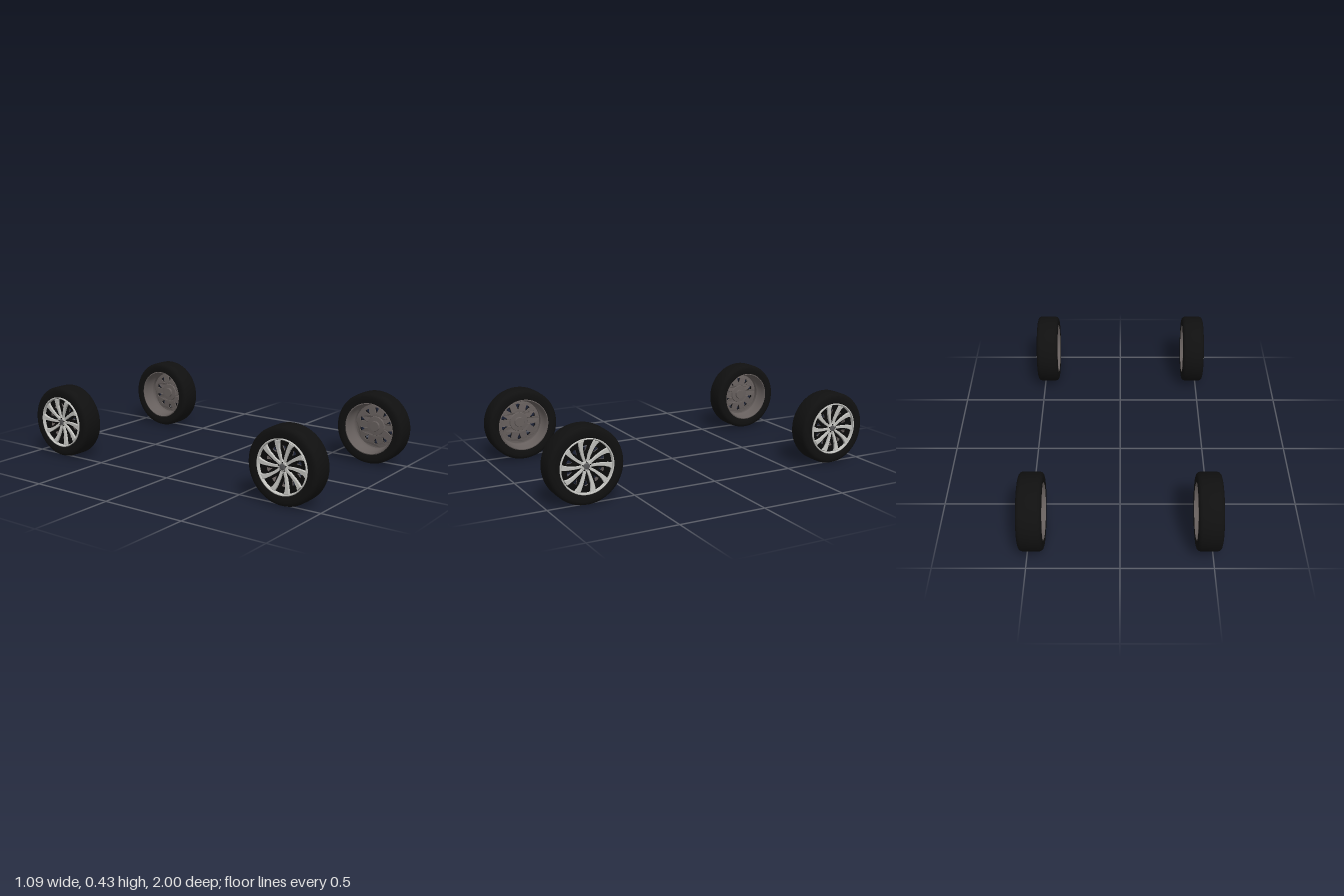
import * as THREE from 'three';
import { toCreasedNormals } from 'three/addons/utils/BufferGeometryUtils.js';

const paint = (name, color, side = THREE.FrontSide) => {
  const m = new THREE.MeshStandardMaterial({ color, side });
  m.name = name;
  return m;
};

const SPOKES = 10;
const polar = (r, a) => new THREE.Vector2(r * Math.cos(a), r * Math.sin(a));

// Revolves [radius, axial] points about the x axis, outboard side at +x
function turned(points, segments = 64) {
  const g = new THREE.LatheGeometry(points.map(([r, h]) => new THREE.Vector2(r, h)), segments);
  return toCreasedNormals(g.rotateZ(-Math.PI / 2), 0.6);
}

// Extrudes a wheel-face shape outboard from x, dished toward the hub
function pressed(shape, x, depth, bevel = 0) {
  const g = new THREE.ExtrudeGeometry(shape, {
    depth, curveSegments: 48, bevelEnabled: bevel > 0,
    bevelSize: bevel, bevelThickness: bevel, bevelSegments: 1,
  });
  const p = g.attributes.position;
  for (let i = 0; i < p.count; i++) {
    const r = Math.hypot(p.getX(i), p.getY(i));
    p.setZ(i, p.getZ(i) + x - 0.016 * Math.max(0, 1 - r / 0.145));
  }
  g.computeVertexNormals();
  return g.rotateY(Math.PI / 2);
}

// Disc pierced by a ring of tapered windows between the spokes
function piercedDisc() {
  const s = new THREE.Shape().absarc(0, 0, 0.142, 0, Math.PI * 2, false);
  for (let i = 0; i < SPOKES; i++) {
    const a = ((i + 0.5) / SPOKES) * Math.PI * 2;
    s.holes.push(new THREE.Path([
      polar(0.072, a), polar(0.108, a - 0.13), polar(0.112, a), polar(0.108, a + 0.13),
    ]));
  }
  return s;
}

// Swept spoke, narrow at the hub and wide at the rim
function spokeShape() {
  const rows = [[0.022, 0.006, 0], [0.06, 0.006, 0.02], [0.1, 0.008, -0.02], [0.125, 0.011, -0.06], [0.14, 0.014, -0.1]];
  const edge = (s) => rows.map(([r, w, a]) => polar(r, a + s * Math.atan(w / r)));
  return new THREE.Shape([...edge(-1), ...edge(1).reverse()]);
}

export function createModel() {
  const rubber = paint('tyre black', 0x101010);
  const silver = paint('machined silver', 0xc2c2be);
  const dark = paint('gloss black', 0x0a0a0a);
  const iron = paint('barrel grey', 0x665f5d, THREE.DoubleSide);
  const cap = paint('cap grey', 0x58585a);

  const tyre = turned([
    [0.148, -0.056], [0.156, -0.064], [0.172, -0.067], [0.19, -0.067], [0.2, -0.064],
    [0.208, -0.057], [0.212, -0.046], [0.213, 0], [0.212, 0.046], [0.208, 0.057],
    [0.2, 0.064], [0.19, 0.067], [0.172, 0.067], [0.156, 0.064], [0.148, 0.056], [0.148, -0.056],
  ], 80);
  const barrel = turned([
    [0.155, -0.064], [0.15, -0.066], [0.147, -0.055], [0.143, -0.045], [0.141, -0.005],
    [0.132, 0.008], [0.132, 0.03], [0.142, 0.045], [0.147, 0.06],
  ]);
  const lip = turned([[0.142, 0.05], [0.15, 0.058], [0.152, 0.068], [0.149, 0.071], [0.145, 0.07], [0.142, 0.05]]);
  const face = pressed(piercedDisc(), 0.042, 0.01);
  const back = pressed(piercedDisc(), 0.034, 0.008);
  const spoke = pressed(spokeShape(), 0.054, 0.012, 0.0015);
  const hubRing = turned([[0.028, 0.045], [0.028, 0.054], [0.024, 0.057], [0, 0.057]], 40);
  const hubCap = turned([[0.017, 0.055], [0.017, 0.06], [0.014, 0.062], [0, 0.062]], 32);
  const hubBack = turned([[0, 0.008], [0.028, 0.008], [0.03, 0.012], [0.03, 0.02], [0.055, 0.022], [0.06, 0.034]], 40);
  const nut = new THREE.CylinderGeometry(0.0035, 0.0035, 0.006, 6).rotateZ(-Math.PI / 2);

  function makeWheel(name) {
    const wheel = new THREE.Group();
    wheel.name = name;
    const add = (part, geometry, material) => {
      const m = new THREE.Mesh(geometry, material);
      m.name = part;
      wheel.add(m);
      return m;
    };
    add('tyre', tyre, rubber);
    add('rimBarrel', barrel, iron);
    add('rimLip', lip, silver);
    add('spokeBacking', face, dark);
    add('wheelBack', back, iron);
    add('hubBack', hubBack, iron);
    add('hubRing', hubRing, silver);
    add('hubCap', hubCap, cap);
    for (let i = 0; i < SPOKES; i++) {
      add('spoke', spoke, silver).rotation.x = (i / SPOKES) * Math.PI * 2;
    }
    // Wheel nuts around the cap
    for (let i = 0; i < 5; i++) {
      const p = polar(0.0225, (i / 5) * Math.PI * 2 + Math.PI / 2);
      add('wheelNut', nut, dark).position.set(0.058, p.y, p.x);
    }
    return wheel;
  }

  // Four wheels, spoked faces outward
  const model = new THREE.Group();
  model.name = 'wheelSet';
  for (const [end, z] of [['front', 0.787], ['rear', -0.787]]) {
    for (const [side, sx] of [['Left', 1], ['Right', -1]]) {
      const wheel = makeWheel(`${end}${side}Wheel`);
      wheel.position.set(sx * 0.473, 0.213, z);
      if (sx < 0) wheel.rotation.y = Math.PI;
      model.add(wheel);
    }
  }
  return model;
}
